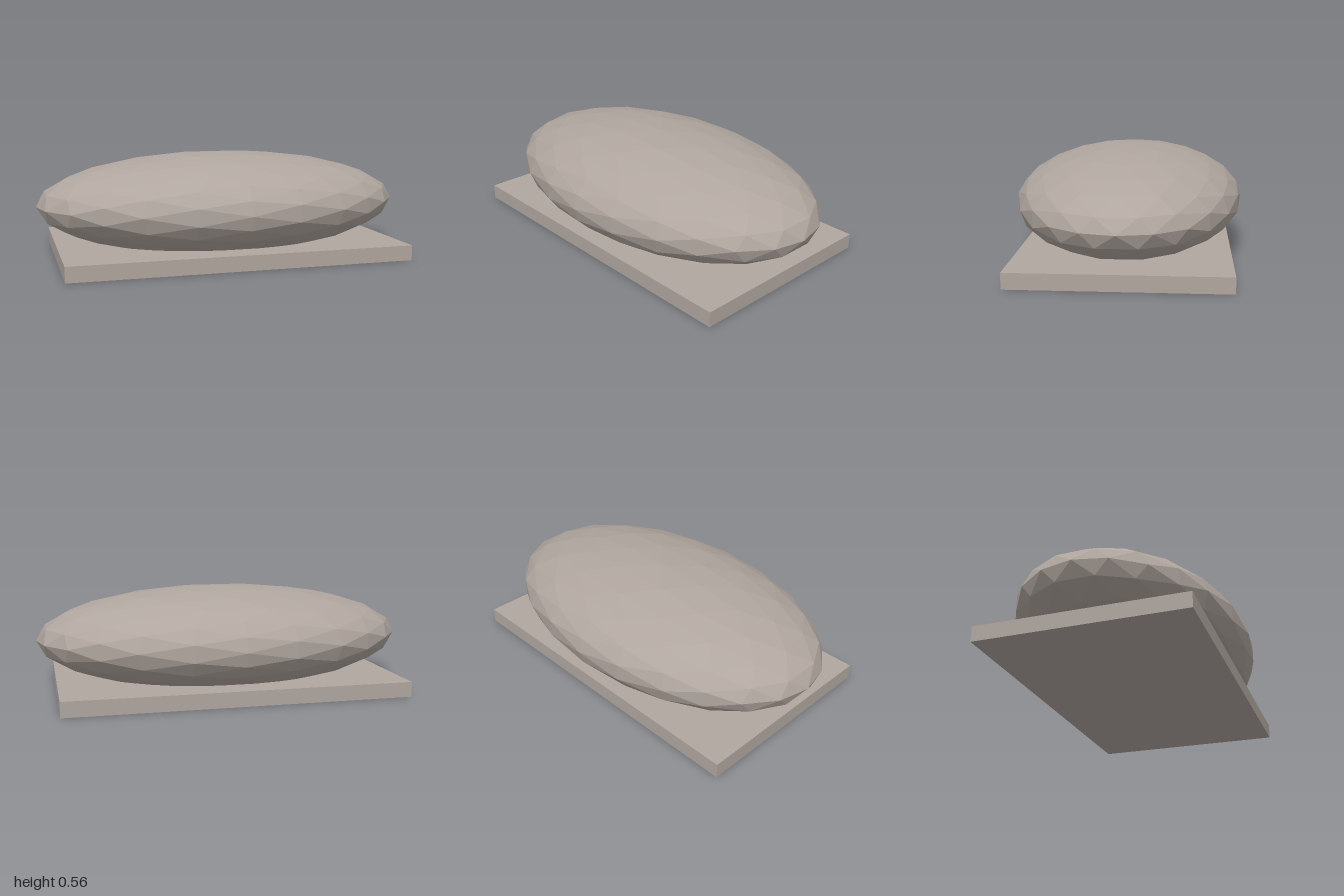
import * as THREE from 'three';

const stone = new THREE.MeshStandardMaterial({ color: 0xb0a69f, flatShading: true });

// Icosphere split in two rounds, so the facets stay even
function icosphere() {
  const coarse = new THREE.IcosahedronGeometry(1, 1).getAttribute('position');
  const corners = Array.from(coarse.array);
  const faces = Array.from({ length: coarse.count }, (_, i) => i);
  return new THREE.PolyhedronGeometry(corners, faces, 1, 1);
}

export function createModel() {
  const model = new THREE.Group();
  model.name = 'stoneOnPlinth';

  // Flat rectangular plinth
  const plinth = new THREE.Mesh(new THREE.BoxGeometry(1.81, 0.08, 1.07), stone);
  plinth.name = 'plinth';
  plinth.position.y = 0.04;
  model.add(plinth);

  // Faceted, flattened boulder sunk slightly into the plinth
  const geometry = icosphere();
  geometry.scale(1, 0.272, 0.605);
  geometry.computeVertexNormals();
  const boulder = new THREE.Mesh(geometry, stone);
  boulder.name = 'boulder';
  boulder.position.y = 0.285;
  model.add(boulder);

  return model;
}
